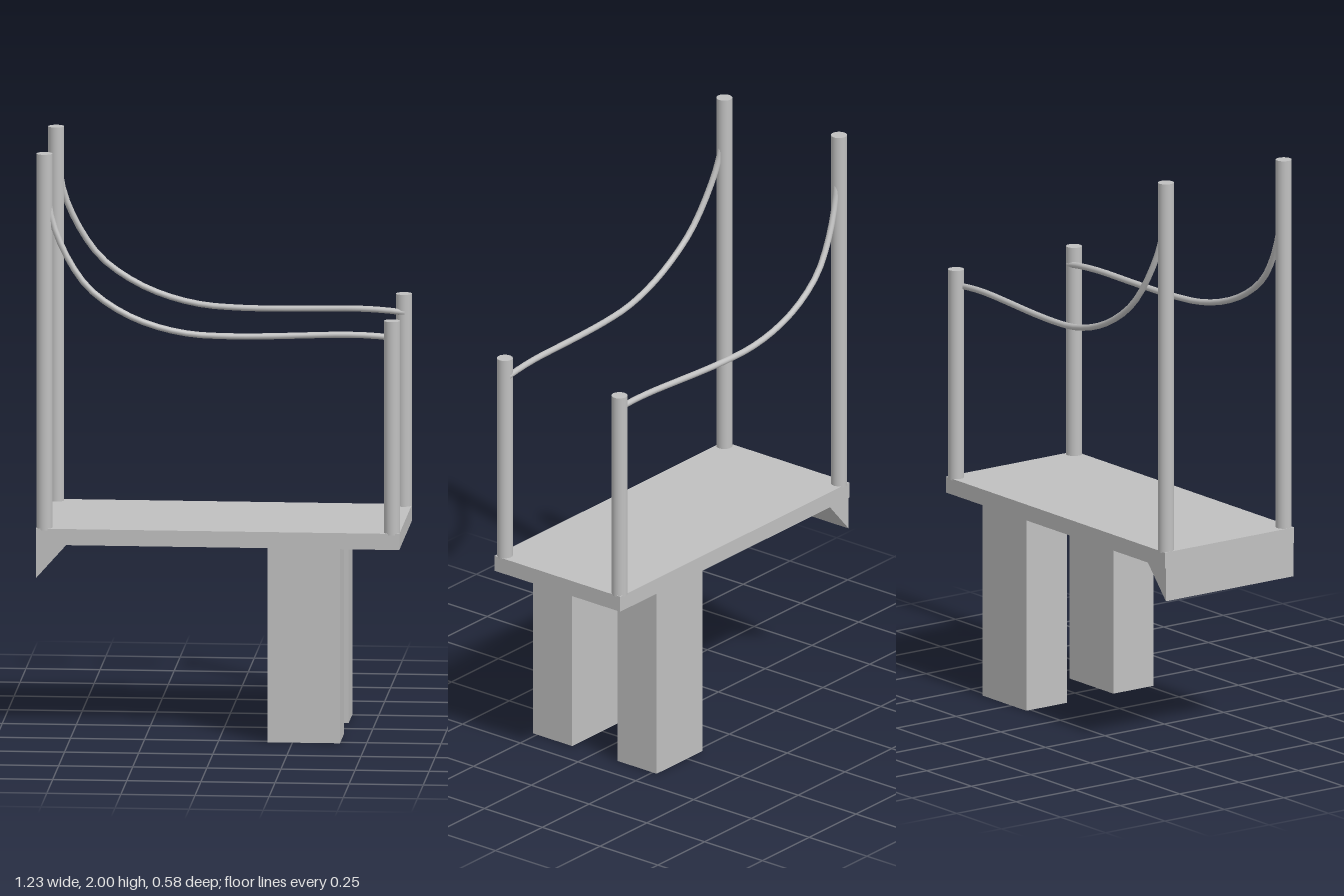
import * as THREE from 'three';

export function createModel() {
  const model = new THREE.Group();
  const grey = new THREE.MeshStandardMaterial({ color: 0xc0c0c0 });
  grey.name = 'light grey';

  function add(name, geometry, x = 0, y = 0, z = 0) {
    const mesh = new THREE.Mesh(geometry, grey);
    mesh.name = name;
    mesh.position.set(x, y, z);
    model.add(mesh);
  }

  // Platform slab
  add('deck', new THREE.BoxGeometry(1.226, 0.055, 0.544), -0.002, 0.6925, 0);

  // Triangular lip under the left-hand end
  const lip = new THREE.Shape([
    new THREE.Vector2(-0.615, 0.55),
    new THREE.Vector2(-0.51, 0.668),
    new THREE.Vector2(-0.615, 0.668),
  ]);
  add('edgeLip', new THREE.ExtrudeGeometry(lip, { depth: 0.536, bevelEnabled: false }), 0, 0, -0.268);

  // Rope path from the tall post down to the short post, bowing outwards
  const ropePoints = [
    [-0.575, 1.84, 0.248], [-0.56, 1.765, 0.254], [-0.51, 1.65, 0.266],
    [-0.44, 1.55, 0.275], [-0.34, 1.475, 0.278], [-0.23, 1.425, 0.275],
    [-0.1, 1.394, 0.268], [0.03, 1.386, 0.26], [0.15, 1.386, 0.253],
    [0.3, 1.39, 0.244], [0.42, 1.393, 0.238], [0.52, 1.39, 0.233],
    [0.59, 1.383, 0.23],
  ];

  for (const side of [1, -1]) {
    const label = side > 0 ? 'front' : 'back';

    // Square support leg
    add(label + 'Leg', new THREE.BoxGeometry(0.245, 0.666, 0.17), 0.288, 0.333, side * 0.183);

    // Tall and short railing posts
    for (const [name, x, top] of [['TallPost', -0.588, 2], ['ShortPost', 0.585, 1.445]]) {
      const height = top - 0.715;
      add(label + name, new THREE.CylinderGeometry(0.027, 0.027, height, 24), x, top - height / 2, side * 0.248);
    }

    // Sagging rope rail
    const path = new THREE.CatmullRomCurve3(
      ropePoints.map(([x, y, z]) => new THREE.Vector3(x, y, side * z)));
    add(label + 'Rope', new THREE.TubeGeometry(path, 28, 0.0105, 12));
  }

  return model;
}
